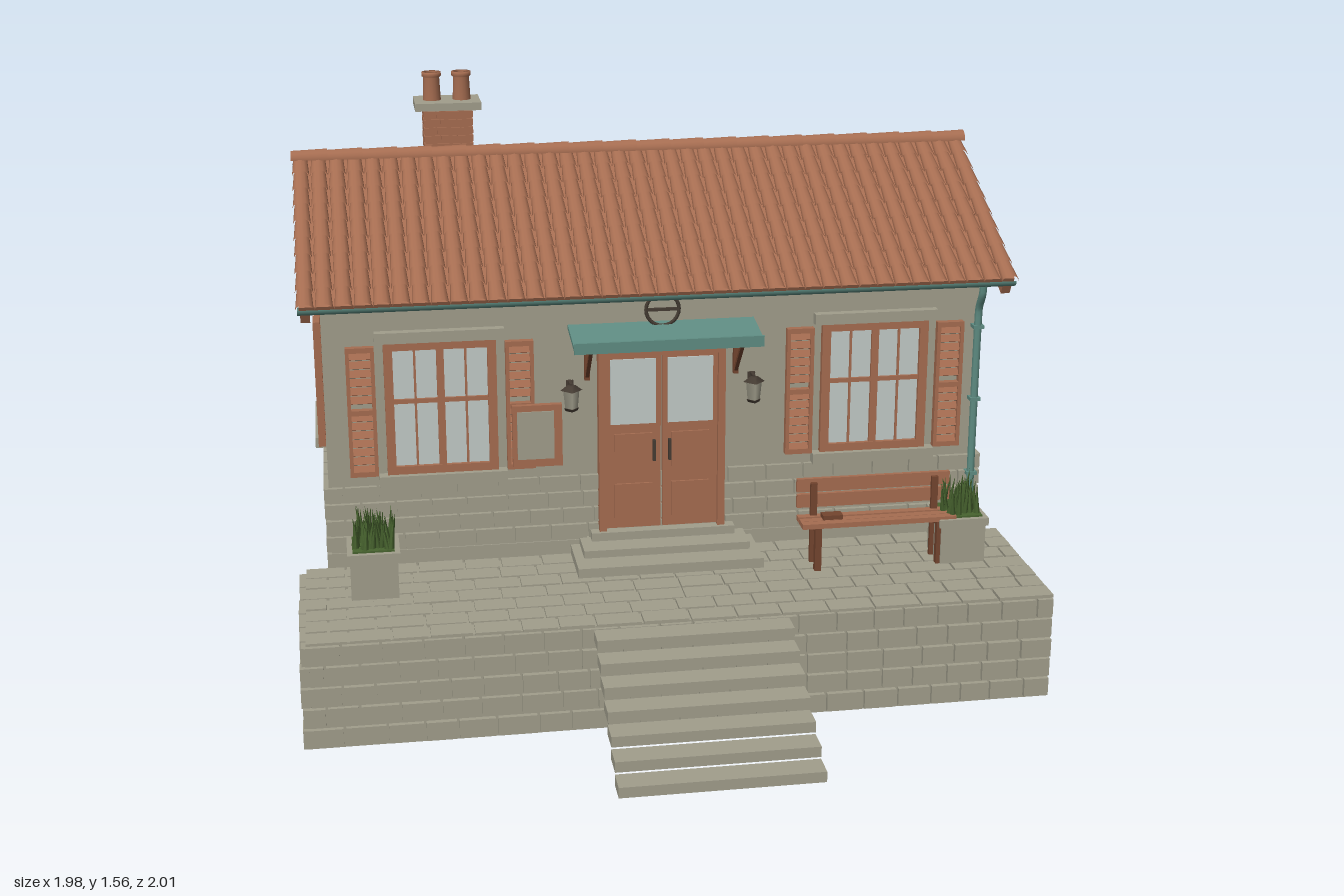
import * as THREE from 'three';
import { mergeGeometries } from 'three/addons/utils/BufferGeometryUtils.js';

const mat = (name, color, side = THREE.FrontSide) => {
  const m = new THREE.MeshStandardMaterial({ color, side });
  m.name = name;
  return m;
};

export function createModel() {
  const stone = mat('stone', 0xa19e8c);
  const clay = mat('terracotta', 0xa66d51, THREE.DoubleSide);
  const teal = mat('teal', 0x5f8d83, THREE.DoubleSide);
  const glass = mat('glass', 0xc3cbc8);
  const dark = mat('dark metal', 0x453c33);
  const wood = mat('dark wood', 0x74452f);
  const green = mat('leaf', 0x48642f, THREE.DoubleSide);

  let seed = 7;
  const rnd = () => (seed = (seed * 16807) % 2147483647) / 2147483647;
  const box = (w, h, d, x = 0, y = 0, z = 0) => new THREE.BoxGeometry(w, h, d).translate(x, y, z);
  const cyl = (rt, rb, h, x, y, z, n = 12) => new THREE.CylinderGeometry(rt, rb, h, n).translate(x, y, z);
  const add = (parent, name, material, ...geos) => {
    const m = new THREE.Mesh(geos.length > 1 ? mergeGeometries(geos) : geos[0], material);
    m.name = name;
    parent.add(m);
    return m;
  };
  const group = (parent, name, x = 0, y = 0, z = 0, rx = 0, ry = 0) => {
    const g = new THREE.Group();
    g.name = name;
    g.position.set(x, y, z);
    g.rotation.set(rx, ry, 0);
    parent.add(g);
    return g;
  };
  // Staggered courses of blocks in the xy plane, standing out along +z
  const blocks = (x0, x1, y0, y1, rows, width, depth) => {
    const out = [], h = (y1 - y0) / rows;
    for (let r = 0; r < rows; r++) {
      let x = x0;
      let w = width * (r % 2 ? 0.55 : 1);
      while (x < x1 - 0.01) {
        const e = x1 - x - w < width * 0.35 ? x1 : x + w;
        const d = depth * (0.75 + 0.25 * rnd());
        out.push(box(e - x - 0.007, h - 0.007, d, (x + e) / 2, y0 + (r + 0.5) * h, d / 2));
        x = e;
        w = width * (0.85 + 0.3 * rnd());
      }
    }
    return out;
  };

  const model = new THREE.Group();
  model.name = 'cottage';

  // Foundation and gabled walls
  const house = group(model, 'house', 0.005, 0, -0.435);
  add(house, 'foundation', stone, box(1.835, 0.36, 0.998, 0, 0.18, 0));
  const gable = new THREE.Shape([[-0.495, 0.35], [0.495, 0.35], [0.495, 1.075], [0, 1.32], [-0.495, 1.075]]
    .map(p => new THREE.Vector2(...p)));
  add(house, 'walls', stone, new THREE.ExtrudeGeometry(gable, { depth: 1.81, bevelEnabled: false })
    .translate(0, 0, -0.905).rotateY(Math.PI / 2));

  // Window with lintel, sill and louvred shutters, on the plane of a wall
  const addWindow = (wall, x) => {
    const g = group(wall, 'window', x);
    add(g, 'windowGlass', glass, box(0.27, 0.35, 0.006, 0, 0.77, 0.003));
    add(g, 'windowFrame', clay,
      box(0.024, 0.37, 0.018, -0.138, 0.77, 0.009), box(0.024, 0.37, 0.018, 0.138, 0.77, 0.009),
      box(0.3, 0.022, 0.018, 0, 0.944, 0.009), box(0.3, 0.022, 0.018, 0, 0.596, 0.009),
      box(0.02, 0.35, 0.016, 0, 0.77, 0.008), box(0.27, 0.012, 0.014, 0, 0.79, 0.007),
      box(0.006, 0.35, 0.011, -0.068, 0.77, 0.006), box(0.006, 0.35, 0.011, 0.068, 0.77, 0.006));
    add(g, 'lintelAndSill', stone, box(0.345, 0.03, 0.026, 0, 0.97, 0.013), box(0.345, 0.03, 0.034, 0, 0.57, 0.017));
    for (const s of [-1, 1]) {
      const parts = [-0.033, 0.033].map(o => box(0.01, 0.36, 0.02, s * 0.212 + o, 0.766, 0.014));
      for (const y of [0.592, 0.766, 0.94]) parts.push(box(0.075, 0.014, 0.02, s * 0.212, y, 0.014));
      for (let i = 0; i < 14; i++) {
        if (i === 7) continue;
        parts.push(box(0.06, 0.021, 0.004).rotateX(-0.5).translate(s * 0.212, 0.604 + i * 0.0245, 0.014));
      }
      add(g, 'shutter', clay, ...parts);
    }
  };

  // The four wall faces: stone plinth courses and windows
  const walls = [
    ['frontWall', 0, 0.495, 0, 0.92, [-0.595, 0.6]],
    ['backWall', 0, -0.495, Math.PI, 0.92, [-0.595, 0.595]],
    ['leftWall', 0.905, 0, Math.PI / 2, 0.505, [0]],
    ['rightWall', -0.905, 0, -Math.PI / 2, 0.505, [0]],
  ].map(([name, x, z, ry, half, windows]) => {
    const w = group(house, name, x, 0, z, 0, ry);
    add(w, 'plinthStones', stone, ...blocks(-half, half, 0.365, 0.555, 4, 0.1, 0.014));
    windows.forEach(c => addWindow(w, c));
    return w;
  });
  const front = walls[0];

  // Double door
  const door = group(front, 'door', 0.003);
  add(door, 'doorFrame', clay, box(0.02, 0.52, 0.034, -0.165, 0.65, 0.017), box(0.02, 0.52, 0.034, 0.165, 0.65, 0.017),
    box(0.35, 0.022, 0.034, 0, 0.905, 0.017));
  for (const s of [-1, 1]) {
    add(door, 'doorLeaf', clay, box(0.153, 0.5, 0.02, s * 0.079, 0.645, 0.01),
      box(0.105, 0.1, 0.008, s * 0.079, 0.62, 0.022), box(0.105, 0.1, 0.008, s * 0.079, 0.475, 0.022));
    add(door, 'doorGlass', glass, box(0.125, 0.185, 0.006, s * 0.079, 0.79, 0.021));
    add(door, 'doorHandle', dark, box(0.008, 0.06, 0.012, s * 0.022, 0.62, 0.026));
  }

  // Canopy, brackets, ring ornament, lanterns
  add(front, 'canopy', teal, box(0.51, 0.012, 0.145).rotateX(0.16).translate(0.005, 0.963, 0.07),
    box(0.51, 0.03, 0.008, 0.005, 0.953, 0.141));
  for (const x of [-0.2, 0.21]) {
    add(front, 'canopyBracket', wood, box(0.014, 0.12, 0.014, x, 0.885, 0.007), box(0.014, 0.012, 0.12, x, 0.942, 0.06),
      box(0.01, 0.14, 0.01).rotateX(0.75).translate(x, 0.885, 0.055));
  }
  add(front, 'ringOrnament', dark, new THREE.TorusGeometry(0.045, 0.005, 6, 24).translate(0.005, 1.018, 0.02),
    box(0.09, 0.008, 0.008, 0.005, 1.018, 0.02));
  for (const x of [-0.247, 0.255]) {
    add(front, 'lantern', dark, box(0.02, 0.05, 0.008, x, 0.8, 0.004), box(0.008, 0.008, 0.04, x, 0.822, 0.02),
      cyl(0.012, 0.03, 0.014, x, 0.815, 0.04, 4), cyl(0.02, 0.016, 0.008, x, 0.754, 0.04, 4));
    add(front, 'lanternBody', stone, cyl(0.022, 0.017, 0.052, x, 0.782, 0.04, 4));
  }

  // Notice board
  add(front, 'noticeBoard', clay, box(0.135, 0.175, 0.018, -0.34, 0.682, 0.03));
  add(front, 'noticeSheet', stone, box(0.1, 0.135, 0.004, -0.345, 0.685, 0.041));

  // Roof: two tiled slopes about the ridge
  const roof = group(model, 'roof', 0.0125, 1.355, -0.432);
  const tiles = [], cols = 39, pitch = 0.05, rows = 9, step = 0.07;
  for (let c = 0; c < cols; c++) for (let r = 0; r < rows; r++) {
    tiles.push(new THREE.CylinderGeometry(0.019, 0.024, step + 0.008, 6, 1, true, -Math.PI / 2, Math.PI)
      .scale(1, 1, 0.75).translate((c - (cols - 1) / 2) * pitch, -(r + 0.5) * step, -0.002 + 0.003 * (rnd() - 0.5)));
  }
  const tileGeo = mergeGeometries(tiles);
  for (const ry of [0, Math.PI]) {
    const side = group(roof, ry ? 'backSlope' : 'frontSlope', 0, 0, 0, 0, ry);
    const slope = group(side, 'slope', 0, 0, 0, 0.46 - Math.PI / 2);
    add(slope, 'tiles', clay, tileGeo);
    add(slope, 'roofDeck', clay, box(1.93, 0.622, 0.02, 0, -0.311, -0.014));
    add(slope, 'rakeBoards', clay, ...[-1, 1].map(s => box(0.025, 0.615, 0.035, s * 0.95, -0.312, -0.042)));
    const rafters = [];
    for (let i = 0; i < 19; i++) rafters.push(box(0.022, 0.1, 0.022, -0.9 + i * 0.1, -0.55, -0.035));
    add(slope, 'rafterTails', wood, ...rafters);
  }
  const caps = [];
  for (let i = 0; i < 20; i++) {
    caps.push(new THREE.CylinderGeometry(0.024, 0.028, 0.102, 8, 1, true, 0, Math.PI)
      .rotateZ(Math.PI / 2).translate(-0.925 + i * 0.0974, 0.001, 0));
  }
  add(roof, 'ridgeTiles', clay, ...caps);
  add(house, 'gablePosts', clay, ...[-1, 1].map(s => box(0.03, 0.23, 0.02, s * 0.935, 1.2, 0)));

  // Gutters and downpipes, front and back
  for (const s of [-1, 1]) {
    add(house, 'gutter', teal, new THREE.CylinderGeometry(0.017, 0.017, 1.94, 8, 1, true, Math.PI, Math.PI)
      .rotateZ(Math.PI / 2).translate(0.008, 1.068, s * 0.545));
    const pts = [[1.055, 0.545], [1.03, 0.542], [0.985, 0.517], [0.95, 0.514], [0.42, 0.514], [0.39, 0.518], [0.375, 0.535]];
    const path = new THREE.CatmullRomCurve3(pts.map(([y, z]) => new THREE.Vector3(0.89, y, s * z)), false, 'centripetal');
    add(house, 'downpipe', teal, new THREE.TubeGeometry(path, 40, 0.011, 8));
    add(house, 'pipeClips', teal, ...[0.5, 0.72, 0.93].map(y => box(0.03, 0.01, 0.03, 0.89, y, s * 0.51)));
  }

  // Chimney with brick courses, cap and two pots
  const chimney = group(model, 'chimney', -0.512, 0, -0.615);
  add(chimney, 'chimneyCore', clay, box(0.135, 0.26, 0.088, 0, 1.33, 0));
  const courses = [];
  for (let i = 0; i < 10; i++) for (let k = 0; k < 3; k++) {
    const cuts = i % 2 ? [-0.073, -0.035, 0.035, 0.073] : [-0.073, -0.024, 0.024, 0.073];
    courses.push(box(cuts[k + 1] - cuts[k] - 0.004, 0.018, 0.1, (cuts[k] + cuts[k + 1]) / 2, 1.235 + i * 0.0235, 0));
  }
  add(chimney, 'chimneyBricks', clay, ...courses);
  add(chimney, 'chimneyCap', stone, box(0.19, 0.022, 0.145, 0, 1.472, 0));
  const pot = [[0.018, 0.02], [0.018, 0.082], [0.028, 0.082], [0.028, 0.07], [0.023, 0.066], [0.026, 0]];
  for (const x of [-0.043, 0.043]) {
    add(chimney, 'chimneyPot', clay, new THREE.LatheGeometry(pot.map(p => new THREE.Vector2(...p)), 16)
      .translate(x, 1.482, 0));
  }

  // Terrace: core, block facing and paving
  const terrace = group(model, 'terrace');
  add(terrace, 'terraceCore', stone, box(1.95, 0.29, 0.48, 0.01, 0.167, 0.3));
  const face = group(terrace, 'terraceFront', 0, 0, 0.538);
  add(face, 'facingBlocks', stone, ...blocks(-0.98, 0.987, 0.025, 0.312, 5, 0.095, 0.017));
  const end = group(terrace, 'terraceEnd', -0.965, 0, 0.31, 0, -Math.PI / 2);
  add(end, 'endBlocks', stone, ...blocks(-0.245, 0.245, 0.025, 0.312, 5, 0.095, 0.026));
  const paving = group(terrace, 'paving', 0, 0.312, 0.06, -Math.PI / 2);
  add(paving, 'pavingStones', stone, ...blocks(-0.975, 0.987, -0.493, 0, 7, 0.11, 0.009));

  // Floating flight of steps, and the door steps
  const steps = [];
  for (let i = 0; i < 7; i++) steps.push(box(0.51, 0.028, 0.067, 0.01, 0.085 + i * 0.0352, 0.967 - i * 0.0622));
  add(model, 'steps', stone, ...steps);
  add(model, 'doorSteps', stone, box(0.51, 0.03, 0.19, 0.01, 0.332, 0.15), box(0.46, 0.022, 0.115, 0.01, 0.357, 0.115),
    box(0.4, 0.025, 0.05, 0.01, 0.379, 0.08));

  // Bench
  const bench = group(model, 'bench', 0.575, 0, 0.25);
  add(bench, 'benchPlanks', clay, ...[-0.022, 0.01, 0.034].map(z => box(0.43, 0.014, 0.022, 0, 0.45, z)),
    box(0.43, 0.038, 0.012, 0, 0.497, -0.036), box(0.43, 0.038, 0.012, 0, 0.54, -0.04));
  for (const x of [-0.17, 0.17]) {
    add(bench, 'benchLegs', wood, box(0.018, 0.125, 0.018, x, 0.382, 0.034), box(0.018, 0.23, 0.012, x, 0.435, -0.026),
      box(0.018, 0.014, 0.07, x, 0.436, 0.005));
  }
  add(bench, 'book', wood, box(0.055, 0.012, 0.032, -0.125, 0.463, 0.003));

  // Planters with upright leaves
  for (const x of [-0.79, 0.81]) {
    const p = group(model, 'planter', x, 0, 0.235);
    add(p, 'planterBox', stone, box(0.125, 0.11, 0.125, 0, 0.375, 0), box(0.138, 0.022, 0.138, 0, 0.438, 0));
    add(p, 'planterSoil', green, box(0.11, 0.006, 0.11, 0, 0.451, 0));
    const leaves = [];
    for (let i = 0; i < 45; i++) {
      const h = 0.07 + 0.035 * rnd();
      leaves.push(new THREE.ConeGeometry(0.009, h, 4).translate(0, h / 2, 0).rotateX((rnd() - 0.5) * 0.35)
        .rotateZ((rnd() - 0.5) * 0.35).translate((rnd() - 0.5) * 0.095, 0.45, (rnd() - 0.5) * 0.095));
    }
    add(p, 'leaves', green, ...leaves);
  }
  return model;
}
